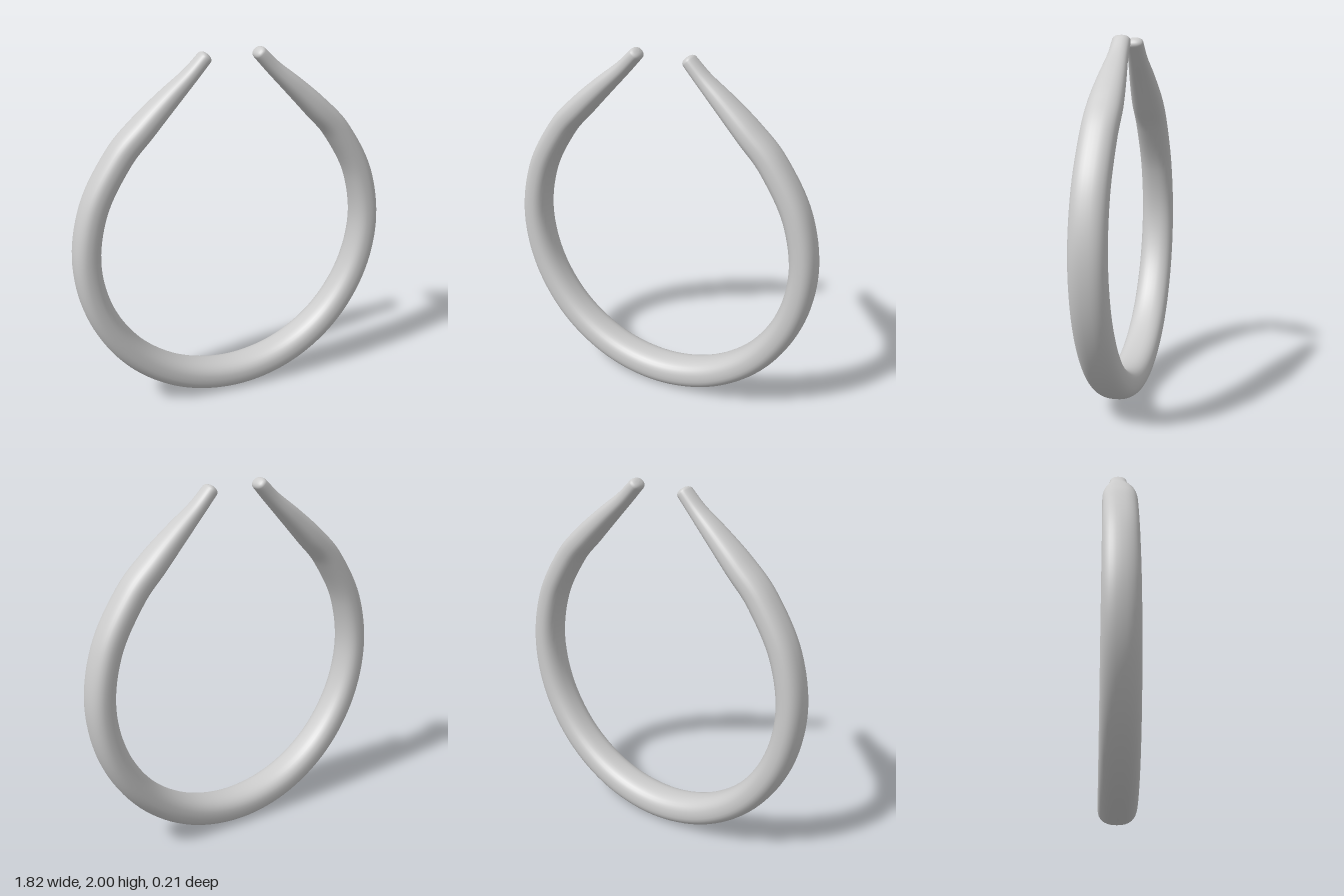
import * as THREE from 'three';

// Half of the ring from bottom to tip: x, y, half thickness in plane, half depth in z
const HALF = [
  [0, 0.088, 0.085, 0.104],
  [0.318, 0.151, 0.084, 0.103],
  [0.588, 0.332, 0.081, 0.101],
  [0.77, 0.605, 0.077, 0.099],
  [0.838, 0.92, 0.073, 0.097],
  [0.785, 1.23, 0.072, 0.095],
  [0.64, 1.49, 0.07, 0.094],
  [0.5, 1.642, 0.066, 0.092],
  [0.36, 1.776, 0.054, 0.075],
  [0.24, 1.885, 0.041, 0.056],
  [0.156, 1.972, 0.036, 0.05],
];
const SIDES = 32, STEPS = 160, CAP = 6;

// Rounded, slightly squared cross-section
const squash = (v) => Math.sign(v) * Math.pow(Math.abs(v), 0.84);

function ringGeometry() {
  const stations = [...HALF.slice(1).reverse().map(([x, ...r]) => [-x, ...r]), ...HALF];
  const path = new THREE.CatmullRomCurve3(
    stations.map(([x, y]) => new THREE.Vector3(x, y, 0)), false, 'catmullrom', 0.5);
  const size = new THREE.CatmullRomCurve3(
    stations.map(([, , t, w]) => new THREE.Vector3(t, w, 0)), false, 'catmullrom', 0.5);

  const frames = [];
  const add = (u, shift, scale) => {
    const tangent = path.getTangent(u);
    const s = size.getPoint(u);
    const centre = path.getPoint(u).addScaledVector(tangent, shift);
    frames.push({ centre, tangent, t: s.x * scale, w: s.y * scale });
  };
  // Domed start, body, domed end
  const dome = 0.025;
  for (let i = 0; i < CAP; i++) {
    const a = (i / CAP) * Math.PI / 2;
    add(0, -dome * Math.cos(a), 0.001 + 0.999 * Math.pow(Math.sin(a), 0.8));
  }
  for (let i = 0; i <= STEPS; i++) add(i / STEPS, 0, 1);
  for (let i = CAP - 1; i >= 0; i--) {
    const a = (i / CAP) * Math.PI / 2;
    add(1, dome * Math.cos(a), 0.001 + 0.999 * Math.pow(Math.sin(a), 0.8));
  }

  const positions = [], index = [];
  frames.forEach(({ centre, tangent, t, w }, i) => {
    for (let j = 0; j < SIDES; j++) {
      const a = (j / SIDES) * Math.PI * 2;
      const n = t * squash(Math.cos(a)), z = w * squash(Math.sin(a));
      positions.push(centre.x + tangent.y * n, centre.y - tangent.x * n, z);
      if (i === 0) continue;
      const k = (j + 1) % SIDES;
      const p = (i - 1) * SIDES, q = i * SIDES;
      index.push(p + j, q + j, p + k, p + k, q + j, q + k);
    }
  });
  // Close the tiny end loops
  const last = (frames.length - 1) * SIDES;
  for (let j = 1; j < SIDES - 1; j++) {
    index.push(0, j, j + 1, last, last + j + 1, last + j);
  }

  const g = new THREE.BufferGeometry();
  g.setAttribute('position', new THREE.Float32BufferAttribute(positions, 3));
  // Make the winding face outward whatever the sweep direction
  const v = (i) => new THREE.Vector3().fromArray(positions, i * 3);
  const mid = (CAP + STEPS / 2) * SIDES;
  const out = v(mid).sub(frames[CAP + STEPS / 2].centre);
  const normal = v(mid + SIDES).sub(v(mid)).cross(v(mid + 1).sub(v(mid)));
  if (normal.dot(out) < 0) {
    for (let i = 0; i < index.length; i += 3) [index[i], index[i + 1]] = [index[i + 1], index[i]];
  }
  g.setIndex(index);
  g.computeVertexNormals();
  return g;
}

export function createModel() {
  const group = new THREE.Group();
  group.name = 'openRing';
  const band = new THREE.Mesh(ringGeometry(), new THREE.MeshStandardMaterial({ color: 0xcccccc }));
  band.name = 'band';
  group.add(band);
  return group;
}
